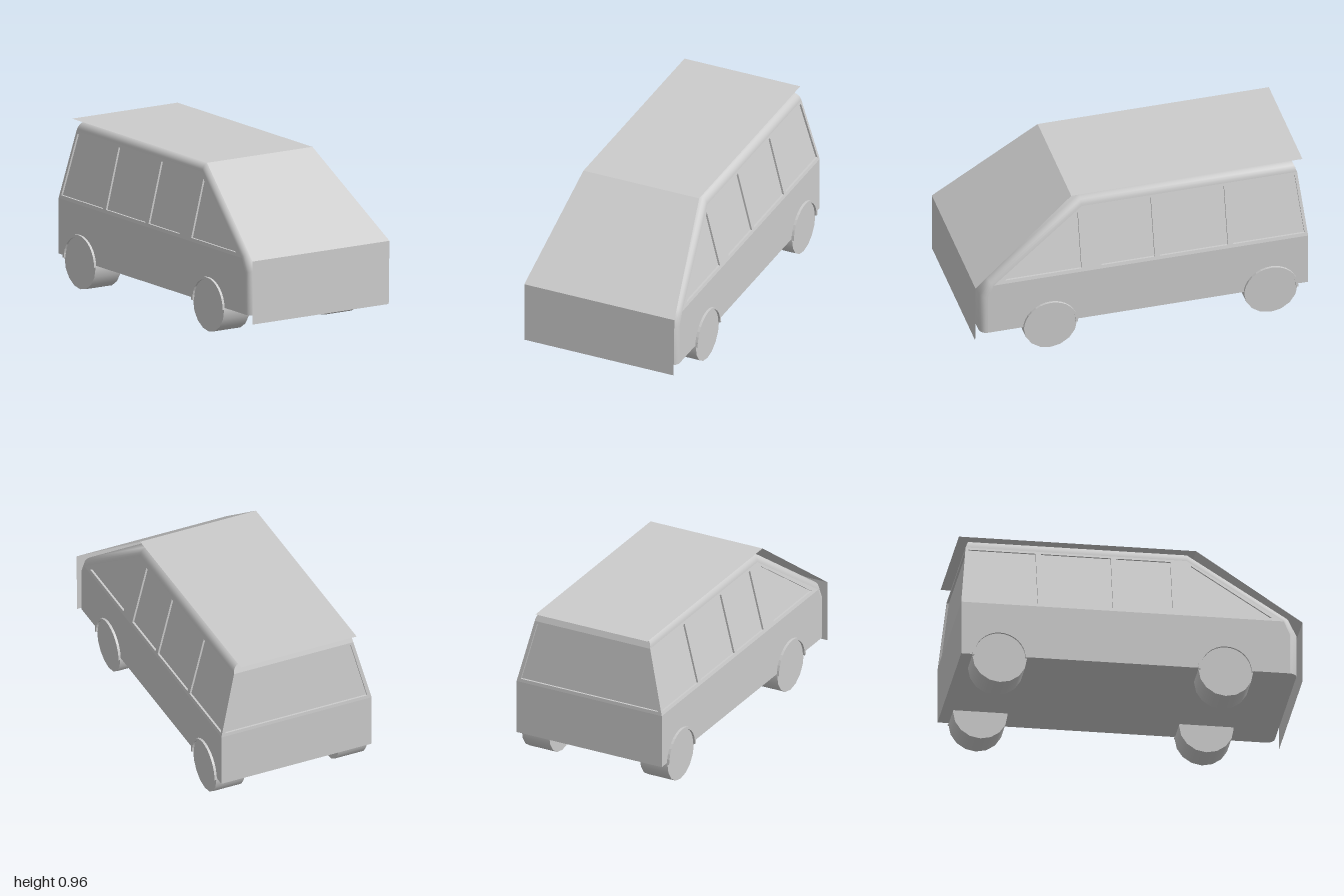
import * as THREE from 'three';
import { toCreasedNormals } from 'three/addons/utils/BufferGeometryUtils.js';

const FLOOR = 0.17, BELT = 0.5, REVEAL = 0.012, ROUND = 0.05;
const material = new THREE.MeshStandardMaterial({ color: 0xcccccc });
const thin = new THREE.MeshStandardMaterial({ color: 0xcccccc, side: THREE.DoubleSide });

// Half width and rear position of the body at a given height
const halfWidth = (y) => 0.48 - 0.25 * Math.max(0, y - BELT);
const rearZ = (y) => -1 + 0.1 * Math.max(0, y - BELT);

const shapeOf = (pts) => new THREE.Shape(pts.map(([a, b]) => new THREE.Vector2(a, b)));

// Move every vertex by a rule, then give flat normals
function remap(geometry, rule) {
  const g = geometry.index ? geometry.toNonIndexed() : geometry;
  const p = g.attributes.position;
  for (let i = 0; i < p.count; i++) p.setXYZ(i, ...rule(p.getX(i), p.getY(i), p.getZ(i)));
  g.computeVertexNormals();
  return g;
}

// Mirror across x = 0, keeping faces outward
function mirrored(geometry) {
  const g = geometry.index ? geometry.toNonIndexed() : geometry.clone();
  for (const attribute of [g.attributes.position, g.attributes.normal]) {
    for (let i = 0; i < attribute.count; i += 3) {
      const v = [0, 2, 1].map((k) => new THREE.Vector3().fromBufferAttribute(attribute, i + k));
      v.forEach((c, k) => attribute.setXYZ(i + k, -c.x, c.y, c.z));
    }
  }
  return g;
}

// Panel with openings, thickened inward so that each opening gets a reveal
function panel(points, holes = []) {
  const s = shapeOf(points);
  holes.forEach((h) => s.holes.push(shapeOf(h)));
  return new THREE.ExtrudeGeometry(s, { depth: REVEAL, bevelEnabled: false });
}
const sideRule = (u, v, d) => [halfWidth(v) + d - REVEAL, v, -u];
const rearRule = (u, v, d) => [-u, v, rearZ(v) - d + REVEAL];

// Rounded skin over nose, windscreen and roof, lofted from side to side
const sideProfile = [[0.925, FLOOR], [0.925, 0.42], [0.89, BELT], [0.335, 0.895], [-0.9605, 0.895]];
const midProfile = [[0.97, FLOOR], [0.97, 0.43], [0.92, 0.53], [0.34, 0.95], [-0.94, 0.95]];
const STEPS = 6;
function section(i) {
  const a = (i / STEPS) * Math.PI / 2;
  const k = Math.sin(a), inset = ROUND * (1 - Math.cos(a));
  return sideProfile.map(([z, y], j) => [
    halfWidth(y) - inset,
    y + (midProfile[j][1] - y) * k,
    z + (midProfile[j][0] - z) * k,
  ]);
}
function roofSkin() {
  const half = Array.from({ length: STEPS + 1 }, (_, i) => section(i));
  const rows = [...half, ...half.slice().reverse().map((s) => s.map(([x, y, z]) => [-x, y, z]))];
  const n = sideProfile.length, index = [];
  for (let i = 0; i < rows.length - 1; i++) {
    for (let j = 0; j < n - 1; j++) {
      const a = i * n + j, b = a + 1, c = a + n, d = c + 1;
      index.push(a, b, c, b, d, c);
    }
  }
  const g = new THREE.BufferGeometry();
  g.setAttribute('position', new THREE.Float32BufferAttribute(rows.flat(2), 3));
  g.setIndex(index);
  return toCreasedNormals(g, 0.75);
}

export function createModel() {
  const model = new THREE.Group();
  model.name = 'van';
  const add = (name, geometry, mat = material) => {
    const mesh = new THREE.Mesh(geometry, mat);
    mesh.name = name;
    model.add(mesh);
    return mesh;
  };
  const addPair = (name, geometry) => {
    add(name + 'Left', geometry);
    add(name + 'Right', mirrored(geometry));
  };

  add('bodySkin', roofSkin());

  // Sides: lower panel, window band and recessed panes (u = -z)
  const flip = (pts) => pts.map(([z, y]) => [-z, y]);
  const windows = [
    [[0.82, 0.52], [0.36, 0.52], [0.36, 0.86]],
    [[0.24, 0.52], [-0.08, 0.52], [-0.08, 0.88], [0.24, 0.88]],
    [[-0.11, 0.52], [-0.52, 0.52], [-0.52, 0.88], [-0.11, 0.88]],
    [[-0.55, 0.52], [-0.98, 0.52], [-0.945, 0.88], [-0.55, 0.88]],
  ].map(flip);
  const lower = flip([[0.925, FLOOR], [-1, FLOOR], [-1, BELT], [0.89, BELT], [0.925, 0.42]]);
  const upper = flip([[0.89, BELT], [-1, BELT], [-0.9605, 0.895], [0.335, 0.895]]);
  addPair('lowerSide', remap(panel(lower), sideRule));
  addPair('windowBand', remap(panel(upper, windows), sideRule));
  windows.forEach((w, i) =>
    addPair('sideWindow' + (i + 1), remap(new THREE.ShapeGeometry(shapeOf(w)), sideRule)));

  // Tail: lower panel, window frame, pane and the header under the roof
  const symmetric = (x0, y0, x1, y1) => [[-x0, y0], [x0, y0], [x1, y1], [-x1, y1]];
  const rearOpening = symmetric(0.453, 0.52, 0.365, 0.88);
  add('tailPanel', remap(panel(symmetric(0.48, FLOOR, 0.48, BELT)), rearRule));
  add('rearWindowFrame',
    remap(panel(symmetric(0.48, BELT, halfWidth(0.895), 0.895), [rearOpening]), rearRule));
  add('rearWindow', remap(new THREE.ShapeGeometry(shapeOf(rearOpening)), rearRule));
  const last = sideProfile.length - 1;
  const arc = Array.from({ length: STEPS + 1 }, (_, i) => section(i)[last]);
  const header = [...arc.map(([x, y]) => [x, y]), ...arc.slice().reverse().map(([x, y]) => [-x, y])];
  add('rearHeader', remap(new THREE.ShapeGeometry(shapeOf(header)),
    (u, v) => [-u, v, -0.9605 + (v - 0.895) * (0.0205 / 0.055)]));

  // Floor follows the rounded nose
  const nose = Array.from({ length: STEPS + 1 }, (_, i) => section(i)[0]);
  const floor = [[-0.48, -1], [0.48, -1], ...nose.map(([x, , z]) => [x, z]),
    ...nose.slice().reverse().map(([x, , z]) => [-x, z])];
  add('floor', remap(new THREE.ShapeGeometry(shapeOf(floor)), (u, v) => [u, FLOOR, v]));

  // Wheels and thin half-ring arches
  const wheel = new THREE.CylinderGeometry(0.16, 0.16, 0.182, 16).rotateZ(Math.PI / 2);
  const ring = new THREE.Shape().absarc(0, 0, 0.163, 0, Math.PI, false);
  ring.absarc(0, 0, 0.15, Math.PI, 0, true);
  const arch = new THREE.ExtrudeGeometry(ring, { depth: 0.02, bevelEnabled: false, curveSegments: 8 })
    .rotateY(Math.PI / 2).translate(0.475, 0, 0);
  for (const [end, z] of [['front', 0.55], ['rear', -0.775]]) {
    addPair(end + 'Wheel', wheel.clone().translate(0.391, 0.16, z));
    addPair(end + 'WheelArch', arch.clone().translate(0, 0.16, z));
  }

  // Thin folded sheet over nose, windscreen and roof
  const folds = [[-0.48, 0.475, 0.125, 1], [-0.48, 0.48, 0.5, 1],
    [-0.385, 0.355, 0.96, 0.39], [-0.385, 0.355, 0.96, -1]];
  const names = ['nosePanel', 'windscreenPanel', 'roofPanel'];
  names.forEach((name, i) => {
    const [l0, r0, y0, z0] = folds[i], [l1, r1, y1, z1] = folds[i + 1];
    const g = new THREE.BufferGeometry();
    g.setAttribute('position', new THREE.Float32BufferAttribute(
      [l0, y0, z0, r0, y0, z0, r1, y1, z1, l1, y1, z1], 3));
    g.setIndex([0, 1, 2, 0, 2, 3]);
    g.computeVertexNormals();
    add(name, g, thin);
  });

  return model;
}
